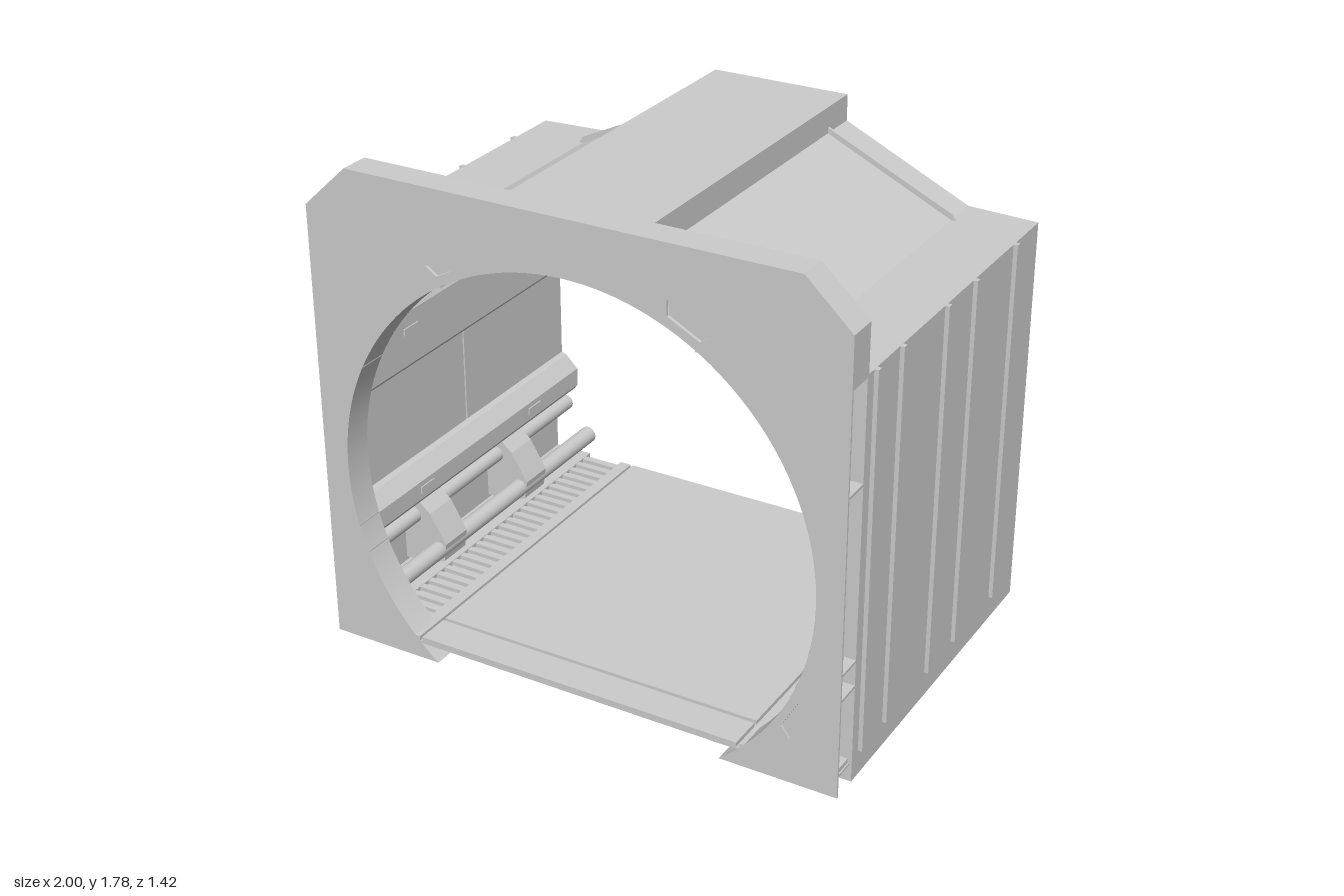
import * as THREE from 'three';

const BACK = -0.71, WALL_END = 0.6, FRONT = 0.71;
const mat = new THREE.MeshStandardMaterial({ color: 0xcccccc });
const thin = new THREE.MeshStandardMaterial({ color: 0xcccccc, side: THREE.DoubleSide });

export function createModel() {
  const root = new THREE.Group();

  const add = (parent, name, geo, material = mat) => {
    const m = new THREE.Mesh(geo, material);
    m.name = name;
    parent.add(m);
    return m;
  };
  // box from min/max corners
  const box = (parent, name, x0, x1, y0, y1, z0, z1) =>
    add(parent, name, new THREE.BoxGeometry(Math.abs(x1 - x0), y1 - y0, z1 - z0))
      .position.set((x0 + x1) / 2, (y0 + y1) / 2, (z0 + z1) / 2);
  // x/y profile extruded along z, s mirrors it
  const toShape = (pts, s = 1) => new THREE.Shape(pts.map(([x, y]) => new THREE.Vector2(x * s, y)));
  const extrude = (shape, z0, z1, curveSegments = 64) =>
    new THREE.ExtrudeGeometry(shape, { depth: z1 - z0, bevelEnabled: false, curveSegments }).translate(0, 0, z0);
  const prism = (parent, name, pts, s, z0, z1) => add(parent, name, extrude(toShape(pts, s), z0, z1));
  // open pipe along z
  const pipe = (parent, name, x, y, r, z0 = BACK, z1 = WALL_END) =>
    add(parent, name, new THREE.CylinderGeometry(r, r, z1 - z0, 24, 1, true).rotateX(Math.PI / 2), thin)
      .position.set(x, y, (z0 + z1) / 2);

  // ---- front frame: two plates around a big round opening, joined by a ring and rims
  const frame = new THREE.Group();
  frame.name = 'frontFrame';
  root.add(frame);
  const R = 0.89, CY = 0.695, a0 = Math.asin(-CY / R);
  const slots = [
    [[0.365, 1.6], [0.365, 1.545], [0.48, 1.485], [0.52, 1.515]],
    [[0.895, 0.32], [0.84, 0.315], [0.78, 0.21], [0.81, 0.165]],
  ];
  const plateShape = () => {
    const sh = new THREE.Shape();
    sh.moveTo(-0.985, 0);
    [[-0.985, 1.63], [-0.82, 1.785], [0.82, 1.785], [0.985, 1.63], [0.985, 0]].forEach(([x, y]) => sh.lineTo(x, y));
    sh.absarc(0, CY, R, a0, Math.PI - a0, false);
    sh.closePath();
    for (const s of [1, -1]) for (const p of slots) sh.holes.push(toShape(p, s));
    return sh;
  };
  add(frame, 'frontPlate', extrude(plateShape(), FRONT - 0.008, FRONT));
  add(frame, 'rearPlate', extrude(plateShape(), WALL_END, WALL_END + 0.008));
  // cylinder angle runs from +z, so shift the arc by a quarter turn after tipping it over
  const ring = new THREE.CylinderGeometry(R, R, FRONT - WALL_END, 96, 1, true, Math.PI / 2 + a0, Math.PI - 2 * a0);
  ring.rotateX(Math.PI / 2);
  add(frame, 'openingRing', ring, thin).position.set(0, CY, (FRONT + WALL_END) / 2);
  box(frame, 'topRim', -0.82, 0.82, 1.777, 1.785, WALL_END, FRONT);

  for (const s of [1, -1]) {
    for (const p of slots) {
      prism(frame, 'slotFrontFloor', p, s, FRONT - 0.02, FRONT - 0.012);
      prism(frame, 'slotRearFloor', p, s, WALL_END + 0.012, WALL_END + 0.02);
    }
    prism(frame, 'cornerRim', [[0.82, 1.785], [0.985, 1.63], [0.985, 1.46], [0.977, 1.46], [0.977, 1.626], [0.817, 1.777]],
      s, WALL_END, FRONT);
    // short shelves bridging the open gap between plates
    for (const y of [1.455, 1.09, 0.46, 0.365]) {
      const inner = Math.sqrt(Math.max(0, R * R - (y - CY) ** 2));
      box(frame, 'gapShelf', s * inner, s * 0.985, y - 0.005, y + 0.005, WALL_END, FRONT);
    }
  }

  // ---- floor
  const floor = new THREE.Group();
  floor.name = 'floor';
  root.add(floor);
  box(floor, 'floorPan', -0.975, 0.975, 0.06, 0.068, BACK, FRONT);
  box(floor, 'centrePanel', -0.62, 0.62, 0.068, 0.085, BACK, 0.57);
  box(floor, 'frontSill', -0.62, 0.62, 0.068, 0.085, 0.585, FRONT);
  for (const s of [1, -1]) {
    box(floor, 'grateInnerRail', s * 0.63, s * 0.675, 0.068, 0.085, BACK, FRONT);
    box(floor, 'grateOuterRail', s * 0.82, s * 0.97, 0.068, 0.085, BACK, FRONT);
    for (let i = 0; i < 26; i++) {
      const z = -0.67 + i * 0.05;
      box(floor, 'grateRung', s * 0.675, s * 0.82, 0.068, 0.083, z - 0.012, z + 0.012);
    }
  }

  // ---- roof centre: open channel carrying pipes
  const roof = new THREE.Group();
  roof.name = 'roof';
  root.add(roof);
  box(roof, 'centreRoof', -0.26, 0.26, 1.77, 1.785, BACK, WALL_END);
  for (const s of [1, -1]) {
    box(roof, 'centreRoofSide', s * 0.245, s * 0.26, 1.67, 1.77, BACK, WALL_END);
    pipe(roof, 'largeCeilingPipe', s * 0.08, 1.688, 0.072);
    pipe(roof, 'smallCeilingPipe', s * 0.205, 1.725, 0.028);
    pipe(roof, 'smallCeilingPipe', s * 0.205, 1.66, 0.028);

    // sloping roof with flat shoulder, inner panel and raised seams
    prism(roof, 'slopedRoof', [[0.26, 1.69], [0.73, 1.468], [0.985, 1.46], [0.985, 1.445], [0.727, 1.452], [0.26, 1.672]],
      s, BACK, WALL_END);
    prism(roof, 'slopeLining', [[0.29, 1.66], [0.69, 1.471], [0.685, 1.451], [0.285, 1.64]], s, -0.62, 0.54);
    for (const z of [-0.57, 0.49])
      prism(roof, 'roofSeam', [[0.26, 1.71], [0.73, 1.49], [0.75, 1.46], [0.73, 1.46], [0.26, 1.68]], s, z - 0.005, z + 0.005);
  }

  // ---- side walls with ribs outside and equipment inside
  for (const s of [1, -1]) {
    const wall = new THREE.Group();
    wall.name = s > 0 ? 'leftWall' : 'rightWall';
    root.add(wall);
    box(wall, 'wallSheet', s * 0.97, s * 0.985, 0, 1.46, BACK, WALL_END);
    for (const z of [0.555, 0.375, 0.045, -0.175, -0.505])
      box(wall, 'outerRib', s * 0.98, s, 0.095, 1.46, z - 0.01, z + 0.01);

    // inner panels between the two ledges
    box(wall, 'innerPanel', s * 0.94, s * 0.972, 0.47, 0.9, BACK, -0.06);
    box(wall, 'innerPanel', s * 0.94, s * 0.972, 0.47, 0.9, -0.052, WALL_END);
    prism(wall, 'upperLedge', [[0.975, 1.17], [0.93, 1.15], [0.905, 1.1], [0.905, 0.9], [0.935, 0.87], [0.975, 0.87]],
      s, BACK, WALL_END);
    prism(wall, 'lowerLedge', [[0.975, 0.52], [0.92, 0.5], [0.87, 0.45], [0.87, 0.38], [0.885, 0.36], [0.975, 0.36]],
      s, BACK, WALL_END);
    for (const z of [-0.4, 0.3]) {
      box(wall, 'ledgeSlot', s * 0.9, s * 0.91, 1.02, 1.045, z - 0.04, z + 0.04);
      box(wall, 'ledgeSlot', s * 0.865, s * 0.875, 0.405, 0.43, z - 0.04, z + 0.04);
    }

    // upper pipes with clamps
    pipe(wall, 'largeWallPipe', s * 0.88, 1.335, 0.088);
    pipe(wall, 'smallWallPipe', s * 0.8, 1.425, 0.026);
    pipe(wall, 'smallWallPipe', s * 0.765, 1.37, 0.026);
    pipe(wall, 'smallWallPipe', s * 0.935, 1.2, 0.026);
    for (const z of [-0.33, 0.22])
      prism(wall, 'pipeClamp', [[0.97, 1.19], [0.88, 1.2], [0.8, 1.27], [0.785, 1.33], [0.83, 1.36], [0.97, 1.36]],
        s, z - 0.065, z + 0.065);

    // lower pipes with brackets
    pipe(wall, 'lowerPipe', s * 0.925, 0.29, 0.03);
    pipe(wall, 'lowerPipe', s * 0.825, 0.17, 0.033);
    for (const z of [-0.28, 0.25])
      prism(wall, 'pipeBracket', [[0.97, 0.35], [0.9, 0.35], [0.855, 0.31], [0.79, 0.2], [0.8, 0.13], [0.87, 0.1], [0.97, 0.1]],
        s, z - 0.065, z + 0.065);
  }
  return root;
}
